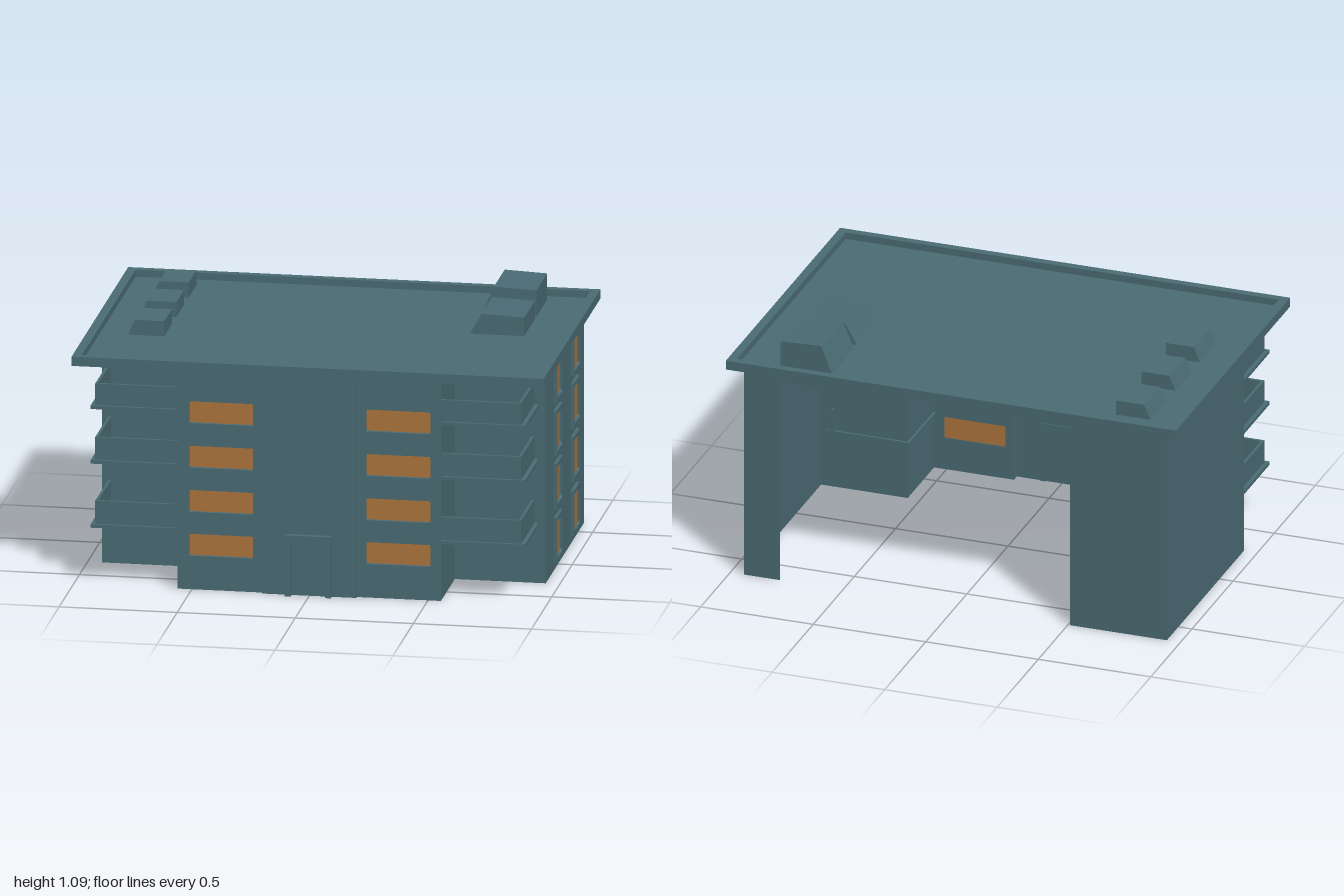
import * as THREE from 'three';

export function createModel() {
  const model = new THREE.Group();
  const wallMat = new THREE.MeshStandardMaterial({ color: 0x4b6c75, side: THREE.DoubleSide });
  wallMat.name = 'slateTeal';
  const glassMat = new THREE.MeshStandardMaterial({ color: 0xb0763f, side: THREE.DoubleSide });
  glassMat.name = 'amberGlass';

  const add = (name, geo, mat = wallMat, parent = model) => {
    const mesh = new THREE.Mesh(geo, mat);
    mesh.name = name;
    parent.add(mesh);
    return mesh;
  };
  // box given by its two extreme corners
  const box = (name, x0, x1, y0, y1, z0, z1, parent = model) =>
    add(name, new THREE.BoxGeometry(x1 - x0, y1 - y0, z1 - z0), wallMat, parent)
      .position.set((x0 + x1) / 2, (y0 + y1) / 2, (z0 + z1) / 2);
  const rect = (x0, x1, y0, y1, r = 0, Type = THREE.Shape) => {
    const s = new Type();
    if (!r) {
      s.moveTo(x0, y0).lineTo(x1, y0).lineTo(x1, y1).lineTo(x0, y1).closePath();
    } else {
      s.moveTo(x0 + r, y0).lineTo(x1 - r, y0).quadraticCurveTo(x1, y0, x1, y0 + r);
      s.lineTo(x1, y1 - r).quadraticCurveTo(x1, y1, x1 - r, y1);
      s.lineTo(x0 + r, y1).quadraticCurveTo(x0, y1, x0, y1 - r);
      s.lineTo(x0, y0 + r).quadraticCurveTo(x0, y0, x0 + r, y0);
    }
    return s;
  };
  const extrude = (shape, depth) =>
    new THREE.ExtrudeGeometry(shape, { depth, bevelEnabled: false, curveSegments: 3 });
  // thin upright wall following a plan path of [x, z] points
  const H = 0.962;
  const wall = (name, path) => {
    const p = [];
    for (let i = 0; i < path.length - 1; i++) {
      const [ax, az] = path[i], [bx, bz] = path[i + 1];
      p.push(ax, 0, az, bx, 0, bz, bx, H, bz, ax, 0, az, bx, H, bz, ax, H, az);
    }
    const g = new THREE.BufferGeometry();
    g.setAttribute('position', new THREE.Float32BufferAttribute(p, 3));
    g.computeVertexNormals();
    add(name, g);
  };

  // Shell, open at the back
  wall('rightShell', [[-0.51, -0.64], [-0.94, -0.64], [-0.94, 0.3], [-0.56, 0.3], [-0.56, 0.64]]);
  wall('leftShell', [[0.555, 0.64], [0.555, 0.3], [0.94, 0.3], [0.94, -0.64], [0.78, -0.64]]);
  wall('entranceBay', [[-0.2, 0.62], [-0.2, 0.655], [0.2, 0.655], [0.2, 0.62]]);

  // Front wings with recessed windows
  for (const [x0, x1, w0, w1] of [[-0.56, -0.2, -0.513, -0.24], [0.2, 0.555, 0.237, 0.51]]) {
    const shape = rect(x0, x1, 0, H);
    for (const y of [0.145, 0.335, 0.527, 0.72]) {
      shape.holes.push(rect(w0, w1, y, y + 0.095, 0.008, THREE.Path));
      add('frontWindow', new THREE.ShapeGeometry(rect(w0, w1, y, y + 0.095, 0.008), 3), glassMat)
        .position.z = 0.623;
    }
    add('frontWing', extrude(shape, 0.02)).position.z = 0.62;
  }

  // Door surround
  const door = new THREE.Shape();
  door.moveTo(-0.1, 0).lineTo(-0.075, 0).lineTo(-0.075, 0.24).lineTo(0.07, 0.24).lineTo(0.07, 0);
  door.lineTo(0.095, 0).lineTo(0.095, 0.264).lineTo(-0.1, 0.264).closePath();
  add('doorFrame', extrude(door, 0.03)).position.z = 0.65;

  // Framed windows on the left side wall
  const frameShape = rect(-0.07, 0.07, -0.098, 0.098);
  frameShape.holes.push(rect(-0.061, 0.061, -0.081, 0.081, 0.014, THREE.Path));
  const frameGeo = extrude(frameShape, 0.015);
  const paneGeo = new THREE.ShapeGeometry(rect(-0.061, 0.061, -0.081, 0.081, 0.014), 3);
  for (const z of [0.043, -0.381]) {
    for (const y of [0.133, 0.367, 0.598, 0.826]) {
      const win = new THREE.Group();
      win.name = 'sideWindow';
      add('windowFrame', frameGeo, wallMat, win);
      add('windowPane', paneGeo, glassMat, win).position.z = 0.004;
      win.position.set(0.94, y, z);
      win.rotation.y = Math.PI / 2;
      model.add(win);
    }
  }

  // Corner balconies: slab plus two thin parapets
  for (const [s, inner, outer] of [[-1, 0.55, 0.93], [1, 0.545, 0.91]]) {
    for (const [y, top] of [[0.245, 0.36], [0.523, 0.636], [0.76, 0.868]]) {
      const balcony = new THREE.Group();
      balcony.name = 'balcony';
      const part = (name, a, b, ...rest) =>
        box(name, Math.min(s * a, s * b), Math.max(s * a, s * b), ...rest, balcony);
      part('balconySlab', inner, outer, y, y + 0.015, 0.29, 0.636);
      part('frontParapet', inner, outer - 0.018, y + 0.014, top, 0.612, 0.624);
      part('sideParapet', outer - 0.03, outer - 0.018, y + 0.014, top, 0.285, 0.612);
      model.add(balcony);
    }
  }

  // Roof: raised rim around a sunken deck
  const rim = rect(-1, 1, -0.695, 0.695);
  rim.holes.push(rect(-0.962, 0.962, -0.66, 0.66, 0, THREE.Path));
  const rimMesh = add('roofRim', extrude(rim, 0.04));
  rimMesh.rotation.x = -Math.PI / 2;
  rimMesh.position.y = 0.96;
  box('roofDeck', -0.962, 0.962, 0.96, 0.97, -0.66, 0.66);

  // Rooftop units: side profile with one sloping face
  const unit = (name, pts, z0, z1) =>
    add(name, extrude(new THREE.Shape(pts.map(([x, y]) => new THREE.Vector2(x, y))), z1 - z0))
      .position.z = z0;
  for (const z of [-0.572, -0.268, 0.03]) {
    unit('roofVent', [[-0.848, 0.957], [-0.69, 0.957], [-0.69, 1.035], [-0.815, 1.035]], z, z + 0.188);
  }
  for (const [z0, z1, top] of [[-0.605, -0.34, 1.092], [-0.302, -0.04, 1.058]]) {
    unit('roofHousing', [[0.56, 0.9], [0.79, 0.9], [0.79, top - 0.008], [0.61, top], [0.56, 0.97]], z0, z1);
  }
  return model;
}
